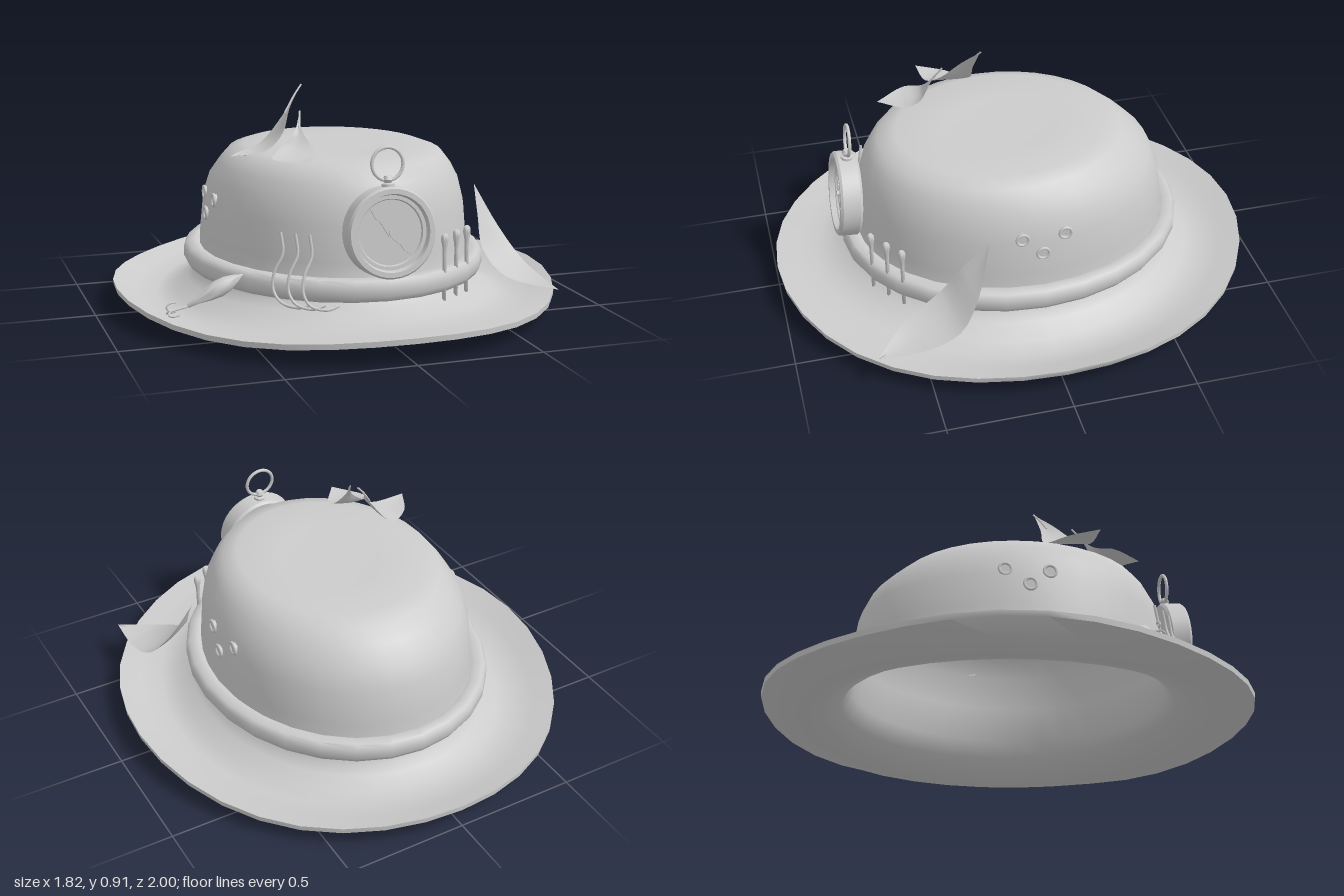
import * as THREE from 'three';
import { toCreasedNormals } from 'three/addons/utils/BufferGeometryUtils.js';
import { ParametricGeometry } from 'three/addons/geometries/ParametricGeometry.js';

const material = new THREE.MeshStandardMaterial({ color: 0xcccccc, side: THREE.DoubleSide });
const V = (p) => new THREE.Vector3(...p);

function add(parent, name, geometry, position = [0, 0, 0], rotation = [0, 0, 0]) {
  const mesh = new THREE.Mesh(geometry, material);
  mesh.name = name;
  mesh.position.set(...position);
  mesh.rotation.set(...rotation);
  parent.add(mesh);
  return mesh;
}

function addGroup(parent, name) {
  const group = new THREE.Group();
  group.name = name;
  parent.add(group);
  return group;
}

// Skin over elliptical rings [half width, half depth, height or height(sin), z shift]
function ringLoft(rings, segments, crease) {
  const positions = [], index = [];
  rings.forEach(([a, b, y, dz = 0]) => {
    for (let j = 0; j < segments; j++) {
      const t = (j / segments) * Math.PI * 2, s = Math.sin(t);
      positions.push(a * Math.cos(t), typeof y === 'function' ? y(s) : y, b * s + dz);
    }
  });
  for (let i = 0; i < rings.length - 1; i++) {
    for (let j = 0; j < segments; j++) {
      const k = (j + 1) % segments;
      const A = i * segments + j, B = i * segments + k, C = A + segments, D = B + segments;
      index.push(A, B, C, B, D, C);
    }
  }
  const g = new THREE.BufferGeometry();
  g.setAttribute('position', new THREE.Float32BufferAttribute(positions, 3));
  g.setIndex(index);
  return toCreasedNormals(g, crease);
}

// Thin leaf spanned between two edge curves, slightly cupped
function leaf(edgeA, edgeB, cup) {
  const a = new THREE.CatmullRomCurve3(edgeA.map(V));
  const b = new THREE.CatmullRomCurve3(edgeB.map(V));
  return new ParametricGeometry((u, v, target) => {
    target.copy(a.getPoint(v)).lerp(b.getPoint(v), u);
    target.y -= cup * Math.sin(Math.PI * u) * Math.sin(Math.PI * v);
  }, 6, 16);
}

function lathe(points, segments, crease = 0.6) {
  const g = new THREE.LatheGeometry(points.map((p) => new THREE.Vector2(...p)), segments);
  return toCreasedNormals(g, crease);
}

const tube = (points, r) =>
  new THREE.TubeGeometry(new THREE.CatmullRomCurve3(points.map(V)), 28, r, 8);

export function createModel() {
  const hat = new THREE.Group();
  hat.name = 'hat';

  // Crown and wavy brim as one shell: outside, rim, underside, inside of the crown
  const neck = (s) => 0.1 + 0.02 * s + 0.01 * s * s;
  const dip = (s) => 0.035 + 0.02 * s + 0.04 * s * s;
  const edge = (s) => 0.105 - 0.025 * 4 * s * s * (1 - s * s);
  const mix = (f, g, k, drop = 0) => (s) => f(s) * (1 - k) + g(s) * k - drop;
  add(hat, 'crownAndBrim', ringLoft([
    [0, 0, 0.655, 0.04], [0.2, 0.25, 0.656, 0.04], [0.37, 0.43, 0.662, 0.04],
    [0.43, 0.505, 0.64, 0.04], [0.47, 0.555, 0.59, 0.03], [0.505, 0.6, 0.53, 0.015],
    [0.53, 0.632, 0.44, 0.005], [0.543, 0.648, 0.3], [0.552, 0.658, 0.17],
    [0.565, 0.675, (s) => neck(s) + 0.025], [0.6, 0.71, neck],
    [0.66, 0.77, mix(neck, dip, 0.7)], [0.73, 0.83, dip],
    [0.82, 0.915, mix(dip, edge, 0.45)], [0.91, 1, edge],
    [0.908, 0.998, mix(edge, edge, 0, 0.022)], [0.82, 0.915, mix(dip, edge, 0.4, 0.03)],
    [0.73, 0.83, mix(dip, dip, 0, 0.03)], [0.65, 0.76, mix(neck, dip, 0.7, 0.025)],
    [0.57, 0.68, mix(neck, neck, 0, 0.015)], [0.535, 0.64, 0.15], [0.525, 0.63, 0.3],
    [0.51, 0.61, 0.44], [0.485, 0.58, 0.52, 0.015], [0.42, 0.49, 0.62, 0.04],
    [0.35, 0.4, 0.64, 0.04], [0, 0, 0.635, 0.04],
  ], 36, 1.0));

  // Rounded band around the base of the crown
  add(hat, 'hatBand', ringLoft([
    [0.535, 0.645, 0.235], [0.56, 0.67, 0.25], [0.598, 0.703, 0.246], [0.612, 0.716, 0.225],
    [0.612, 0.716, 0.185], [0.598, 0.703, 0.163], [0.54, 0.65, 0.155],
  ], 28, 0.9));

  // Three vent eyelets on each side
  for (const side of [-1, 1]) {
    for (const [z, y, x] of [[0.08, 0.462, 0.52], [-0.095, 0.462, 0.515], [0, 0.395, 0.535]]) {
      const eyelet = addGroup(hat, 'ventEyelet');
      eyelet.position.set(side * x, y, z);
      eyelet.rotation.y = side * Math.PI / 2;
      add(eyelet, 'eyeletRing', new THREE.TorusGeometry(0.024, 0.006, 8, 16), [0, 0, 0.005]);
      add(eyelet, 'eyeletDisc', new THREE.CylinderGeometry(0.024, 0.024, 0.02, 16), [0, 0, -0.005], [Math.PI / 2, 0, 0]);
    }
  }

  // Compass leaning against the front
  const compass = addGroup(hat, 'compass');
  compass.position.set(0, 0.428, 0.692);
  compass.rotation.x = -0.09;
  add(compass, 'compassCase', lathe([
    [0, -0.045], [0.165, -0.045], [0.174, -0.035], [0.174, 0.035], [0.167, 0.045],
    [0.148, 0.045], [0.142, 0.022], [0.128, 0.022], [0.124, 0.014], [0, 0.014],
  ], 36), [0, 0, 0], [Math.PI / 2, 0, 0]);
  const needle = new THREE.Shape();
  [[0, 0.122], [0.009, 0.085], [0.005, 0.06], [0.016, 0], [0.005, -0.06], [0.009, -0.085], [0, -0.122],
    [-0.009, -0.085], [-0.005, -0.06], [-0.016, 0], [-0.005, 0.06], [-0.009, 0.085]]
    .forEach(([x, y], i) => (i ? needle.lineTo(x, y) : needle.moveTo(x, y)));
  add(compass, 'compassNeedle', new THREE.ExtrudeGeometry(needle, { depth: 0.008, bevelEnabled: false }), [0, 0, 0.02], [0, 0, 0.72]);
  add(compass, 'needleHub', new THREE.CylinderGeometry(0.012, 0.012, 0.024, 16), [0, 0, 0.024], [Math.PI / 2, 0, 0]);
  add(compass, 'compassStem', lathe([
    [0, 0.165], [0.024, 0.165], [0.024, 0.182], [0.013, 0.186], [0.02, 0.198], [0.013, 0.212], [0, 0.214],
  ], 14));
  add(compass, 'compassRing', new THREE.TorusGeometry(0.062, 0.007, 10, 32), [0, 0.257, 0]);

  // Three pins tucked behind the band
  for (const [x, z] of [[0.25, 0.635], [0.32, 0.585], [0.385, 0.535]]) {
    add(hat, 'pin', lathe([
      [0, 0.12], [0.008, 0.124], [0.008, 0.31], [0.009, 0.335], [0.015, 0.365], [0.014, 0.382], [0.007, 0.392], [0, 0.393],
    ], 10, 1.2), [x, 0, z]);
  }

  // Three curved hooks hanging over the band
  for (const x0 of [-0.375, -0.33, -0.285]) {
    const path = [
      [0, 0.42, 0.06], [0.004, 0.34, 0.07], [-0.03, 0.27, 0.11], [-0.038, 0.205, 0.13],
      [-0.015, 0.16, 0.135], [0.04, 0.148, 0.125], [0.085, 0.16, 0.1],
    ].map(([dx, y, off]) => {
      const x = x0 + dx;
      return [x, y, 0.64 * Math.sqrt(1 - (x / 0.55) ** 2) + off];
    });
    add(hat, 'hook', tube(path, 0.006));
  }

  // Spindle lure with a small treble hook, lying on the brim
  const lure = addGroup(hat, 'lure');
  lure.position.set(-0.605, 0.183, 0.42);
  lure.rotation.set(0, 0.06, 0.44);
  add(lure, 'lureBody', lathe([
    [0, -0.125], [0.007, -0.12], [0.012, -0.08], [0.026, -0.03], [0.034, 0.015], [0.03, 0.055], [0.016, 0.095], [0, 0.125],
  ], 16, 1.2), [0, 0, 0], [0, 0, -Math.PI / 2]);
  const treble = addGroup(lure, 'trebleHook');
  treble.position.x = -0.12;
  treble.rotation.z = -0.25;
  add(treble, 'hookShank', new THREE.CylinderGeometry(0.005, 0.005, 0.08, 8), [-0.04, 0, 0], [0, 0, Math.PI / 2]);
  for (let i = 0; i < 3; i++) {
    const prong = tube([[-0.04, 0, 0], [-0.075, 0.004, 0], [-0.083, 0.018, 0], [-0.07, 0.03, 0], [-0.045, 0.03, 0]], 0.004);
    add(treble, 'hookProng', prong, [0, 0, 0], [i * Math.PI * 2 / 3, 0, 0]);
  }

  // Large leaf tucked into the band on the left
  add(hat, 'sideLeaf', leaf(
    [[0.55, 0.49, 0.22], [0.635, 0.32, 0.28], [0.7, 0.2, 0.37], [0.72, 0.155, 0.52], [0.71, 0.145, 0.7]],
    [[0.55, 0.49, 0.22], [0.525, 0.38, 0.32], [0.51, 0.26, 0.41], [0.55, 0.175, 0.56], [0.71, 0.145, 0.7]], 0.015));

  // Two curled leaves on top of the crown, with thin stems
  add(hat, 'topLeafLarge', leaf(
    [[-0.505, 0.675, 0.29], [-0.445, 0.67, 0.175], [-0.33, 0.69, 0.095], [-0.235, 0.8, 0.095], [-0.16, 0.91, 0.082]],
    [[-0.505, 0.675, 0.29], [-0.36, 0.685, 0.275], [-0.275, 0.745, 0.225], [-0.225, 0.83, 0.15], [-0.16, 0.91, 0.082]], 0.008));
  add(hat, 'topLeafLargeStem', tube([[-0.235, 0.81, 0.12], [-0.195, 0.868, 0.1], [-0.155, 0.915, 0.08]], 0.004));
  add(hat, 'topLeafSmall', leaf(
    [[-0.27, 0.67, 0.5], [-0.36, 0.67, 0.37], [-0.32, 0.69, 0.31], [-0.245, 0.755, 0.28], [-0.21, 0.825, 0.235]],
    [[-0.27, 0.67, 0.5], [-0.19, 0.675, 0.39], [-0.188, 0.7, 0.33], [-0.215, 0.765, 0.28], [-0.21, 0.825, 0.235]], 0.008));
  add(hat, 'topLeafSmallStem', tube([[-0.225, 0.765, 0.28], [-0.215, 0.8, 0.255], [-0.208, 0.83, 0.232]], 0.004));

  return hat;
}
